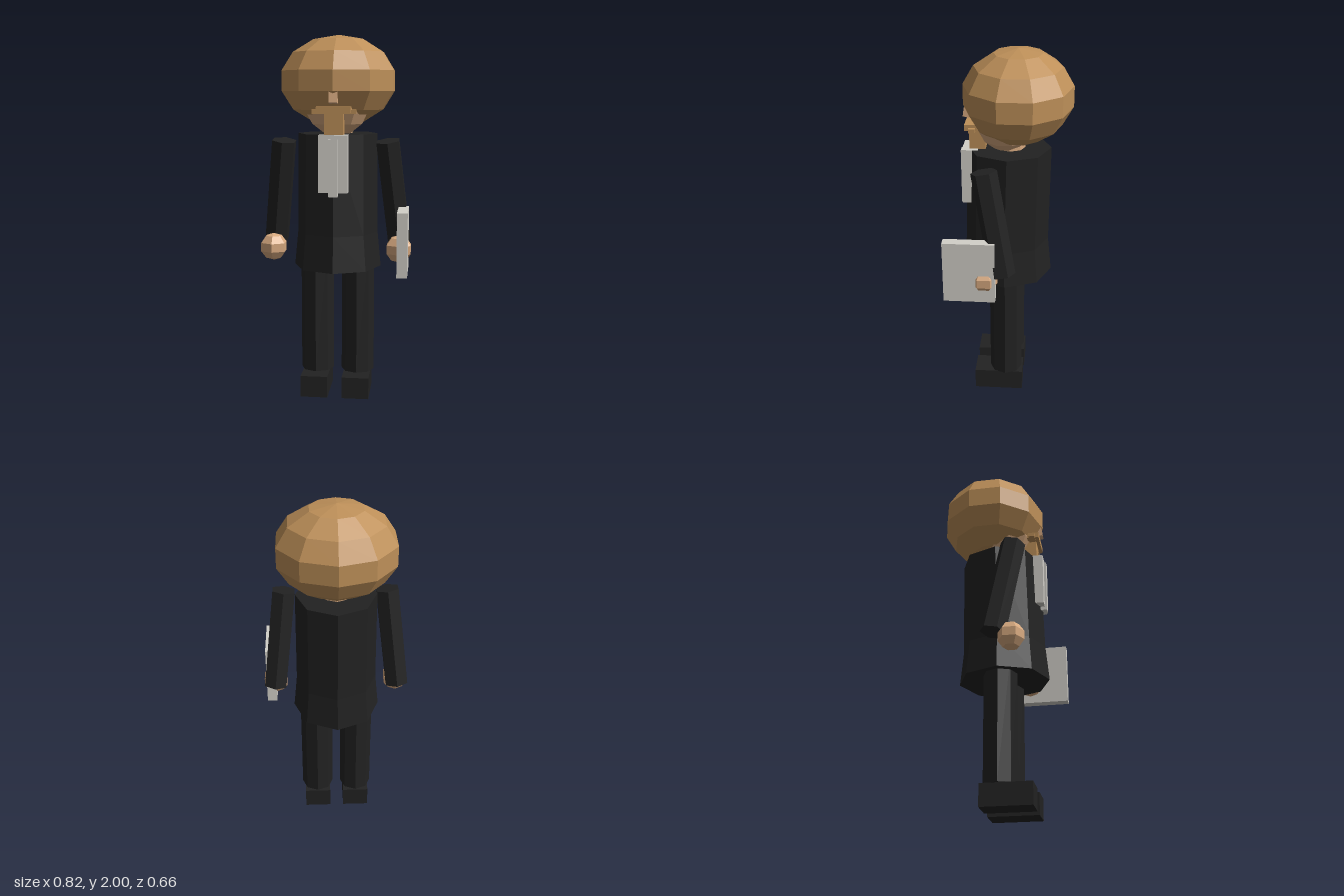
import * as THREE from 'three';

const material = (name, color) => {
  const m = new THREE.MeshStandardMaterial({ color });
  m.name = name;
  return m;
};

export function createModel() {
  const model = new THREE.Group();
  model.name = 'figure';
  const hairTan = material('hair tan', 0xbe9059);
  const skin = material('skin', 0xd8aa80);
  const suitBlack = material('suit black', 0x222222);
  const paper = material('paper white', 0xd3d0c9);

  // Faceted mesh: every face keeps its own normal
  function add(name, geometry, mat, x = 0, y = 0, z = 0) {
    const flat = geometry.index ? geometry.toNonIndexed() : geometry;
    flat.computeVertexNormals();
    const mesh = new THREE.Mesh(flat, mat);
    mesh.name = name;
    mesh.position.set(x, y, z);
    model.add(mesh);
    return mesh;
  }

  // Box given by its minimum and maximum corners
  function box(name, mat, a, b) {
    const size = b.map((v, i) => v - a[i]);
    const mid = b.map((v, i) => (v + a[i]) / 2);
    return add(name, new THREE.BoxGeometry(...size), mat, ...mid);
  }

  // Low-poly ball with a column of vertices facing front and back
  function ball(name, mat, sides, rings, scale, x, y, z) {
    const g = new THREE.SphereGeometry(1, sides, rings).rotateY(Math.PI / 2).scale(...scale);
    return add(name, g, mat, x, y, z);
  }

  // Head and hair
  ball('hair', hairTan, 10, 7, [0.33, 0.25, 0.3], 0, 1.75, -0.04);
  ball('head', skin, 10, 8, [0.2, 0.23, 0.185], 0, 1.68, 0.025);
  add('neck', new THREE.CylinderGeometry(0.08, 0.08, 0.1, 8), skin, 0, 1.48, 0);
  box('nose', skin, [-0.023, 1.63, 0.19], [0.023, 1.7, 0.248]).rotation.x = -0.15;
  box('mustache', hairTan, [-0.092, 1.58, 0.17], [0.092, 1.613, 0.237]);
  box('mustacheTips', hairTan, [-0.117, 1.575, 0.18], [0.117, 1.597, 0.215]);
  box('beard', hairTan, [-0.05, 1.45, 0.13], [0.05, 1.59, 0.217]);

  // Long coat, flared below the waist
  const profile = [[0, 0.725], [0.243, 0.725], [0.224, 0.92], [0.22, 1.465], [0, 1.465]]
    .map(([r, y]) => new THREE.Vector2(r, y));
  const coat = new THREE.LatheGeometry(profile, 8).scale(1, 1, 1.03);
  const p = coat.attributes.position;
  for (let i = 0; i < p.count; i++) p.setZ(i, p.getZ(i) + (p.getY(i) < 1 ? 0.019 : 0.006));
  add('coat', coat, suitBlack);

  // White neck bands
  box('shirtFront', paper, [-0.078, 1.16, 0.17], [0.078, 1.466, 0.256]);
  box('neckBand', paper, [-0.025, 1.14, 0.225], [0.025, 1.445, 0.268]);

  for (const s of [-1, 1]) {
    const side = s > 0 ? 'left' : 'right';

    // Arm slants outwards and back from shoulder to cuff
    const shoulder = new THREE.Vector3(0.282 * s, 1.43, 0.118);
    const cuff = new THREE.Vector3(0.346 * s, 0.87, 0.018);
    const axis = shoulder.clone().sub(cuff);
    const mid = shoulder.clone().add(cuff).multiplyScalar(0.5);
    const arm = add(side + 'Arm', new THREE.CylinderGeometry(0.07, 0.07, axis.length(), 6),
      suitBlack, mid.x, mid.y, mid.z);
    arm.quaternion.setFromUnitVectors(new THREE.Vector3(0, 1, 0), axis.normalize());

    ball(side + 'Hand', skin, 6, 5, [0.079, 0.076, 0.074], 0.347 * s, 0.84, 0.115);

    // Leg and shoe
    add(side + 'Leg', new THREE.CylinderGeometry(0.092, 0.092, 0.68, 8), suitBlack,
      0.115 * s, 0.46, 0.018);
    box(side + 'Shoe', suitBlack, [0.115 * s - 0.075, 0, -0.08], [0.115 * s + 0.075, 0.12, 0.195]);
  }

  // Book carried in the left hand
  box('book', paper, [0.343, 0.725, 0.055], [0.399, 1.07, 0.332]);

  return model;
}
